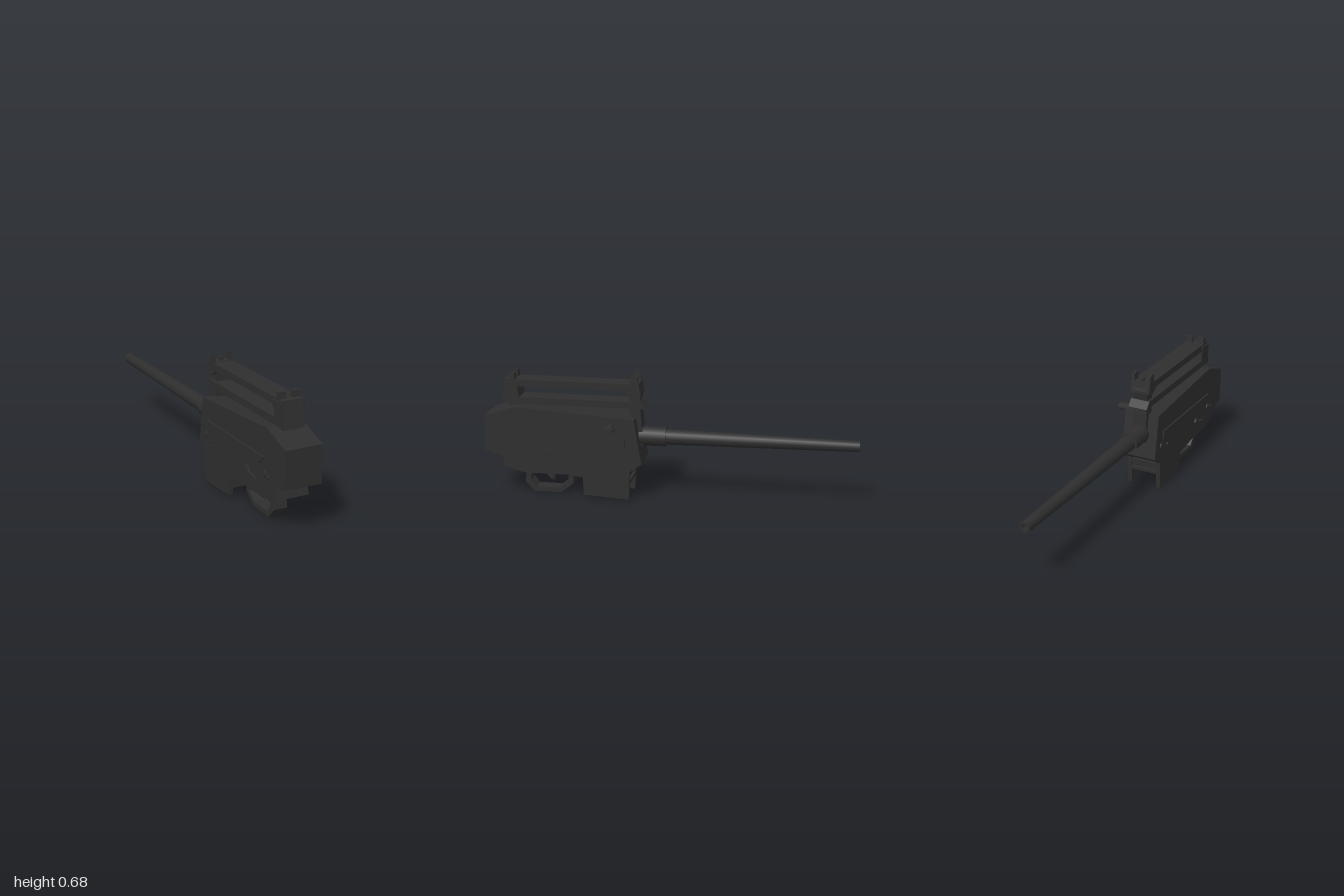
import * as THREE from 'three';

const CX = -0.045; // centre plane of the gun

export function createModel() {
  const group = new THREE.Group();
  const black = new THREE.MeshStandardMaterial({ color: 0x2e2e2e });
  black.name = 'gunmetal black';

  const add = (name, geo) => {
    const mesh = new THREE.Mesh(geo, black);
    mesh.name = name;
    group.add(mesh);
    return mesh;
  };
  const toPoints = (pts) => pts.map(([z, y]) => new THREE.Vector2(-z, y));

  // Side profile given as [z, y] points, extruded between two x positions
  const profile = (name, pts, x0, x1, hole) => {
    const shape = new THREE.Shape(toPoints(pts));
    if (hole) shape.holes.push(new THREE.Path(toPoints(hole)));
    const geo = new THREE.ExtrudeGeometry(shape, { depth: x1 - x0, bevelEnabled: false });
    geo.rotateY(Math.PI / 2);
    geo.translate(x0, 0, 0);
    return add(name, geo);
  };
  // The same profile on both sides, from near to far distance off the centre plane
  const pair = (name, pts, near, far) => {
    profile(name + 'Left', pts, CX + near, CX + far);
    profile(name + 'Right', pts, CX - far, CX - near);
  };
  const box = (name, x0, x1, y0, y1, z0, z1) => {
    const geo = new THREE.BoxGeometry(x1 - x0, y1 - y0, z1 - z0);
    geo.translate((x0 + x1) / 2, (y0 + y1) / 2, (z0 + z1) / 2);
    return add(name, geo);
  };

  // Receiver: a core with a hollow magazine well, between two side plates
  profile('receiverCore', [[1, 0.44], [0.83, 0.497], [0.18, 0.455], [0.14, 0.21], [0.2, 0.17],
    [0.22, 0.17], [0.22, 0.22], [0.43, 0.22], [0.43, 0.055], [0.46, 0.055], [0.46, 0.12],
    [0.64, 0.145], [1, 0.245]], CX - 0.075, CX + 0.075);
  const side = [[1, 0.44], [0.83, 0.497], [0.18, 0.455], [0.14, 0.21], [0.205, 0.165],
    [0.21, 0.008], [0.46, 0.022], [0.46, 0.12], [0.64, 0.145], [1, 0.245]];
  const port = [[0.62, 0.355], [0.62, 0.425], [0.445, 0.425], [0.445, 0.388], [0.345, 0.388], [0.345, 0.355]];
  profile('sidePlateLeft', side, CX + 0.075, CX + 0.1, port);
  profile('sidePlateRight', side, CX - 0.1, CX - 0.075);

  // Front of the magazine well with ribs
  box('wellFrontWall', CX - 0.075, CX + 0.075, 0.085, 0.18, 0.222, 0.24);
  for (const y of [0.09, 0.135]) box('wellRib', CX - 0.075, CX + 0.075, y, y + 0.018, 0.208, 0.224);

  // Raised strips, selector levers and pins on both sides
  pair('sideStrip', [[0.82, 0.35], [0.23, 0.35], [0.23, 0.303], [0.77, 0.303]], 0.1, 0.109);
  pair('selectorLever', [[0.745, 0.2], [0.74, 0.217], [0.68, 0.228], [0.665, 0.25], [0.645, 0.253],
    [0.637, 0.235], [0.66, 0.215], [0.72, 0.196]], 0.1, 0.112);
  for (const [z, y, r] of [[0.815, 0.265, 0.018], [0.85, 0.258, 0.009], [0.215, 0.265, 0.018], [0.285, 0.25, 0.009]]) {
    const pin = new THREE.CylinderGeometry(r, r, 0.216, 12);
    pin.rotateZ(Math.PI / 2);
    pin.translate(CX, y, z);
    add('crossPin', pin);
  }

  // Charging handle
  box('chargingStem', 0.05, 0.1, 0.398, 0.427, 0.29, 0.32);
  const knob = new THREE.CylinderGeometry(0.035, 0.035, 0.06, 8);
  knob.rotateZ(Math.PI / 2);
  knob.scale(1, 0.5, 1);
  knob.translate(0.125, 0.411, 0.307);
  add('chargingKnob', knob);

  // Hollow lower housing in front of the trigger
  pair('housingWall', [[0.895, 0.225], [0.912, 0.16], [0.79, 0.126], [0.56, 0.126], [0.56, 0.15], [0.7, 0.2]], 0.07, 0.087);
  profile('housingFront', [[0.895, 0.225], [0.912, 0.16], [0.885, 0.153], [0.87, 0.225]], CX - 0.07, CX + 0.07);
  box('housingFloor', CX - 0.07, CX + 0.07, 0.126, 0.145, 0.53, 0.79);

  // Trigger guard and trigger
  profile('triggerGuard', [[0.785, 0.135], [0.802, 0.06], [0.752, 0.004], [0.6, 0.004], [0.53, 0.06], [0.53, 0.135]],
    CX - 0.037, CX + 0.037,
    [[0.76, 0.125], [0.77, 0.068], [0.738, 0.03], [0.61, 0.03], [0.557, 0.07], [0.557, 0.125]]);
  profile('trigger', [[0.695, 0.135], [0.685, 0.1], [0.665, 0.075], [0.642, 0.067], [0.642, 0.08],
    [0.66, 0.095], [0.668, 0.135]], CX - 0.015, CX + 0.015);

  // Barrel with collar and bored muzzle, turned about z
  const lathe = (name, pts) => {
    const geo = new THREE.LatheGeometry(pts.map(([r, d]) => new THREE.Vector2(r, d)), 20);
    geo.rotateX(-Math.PI / 2);
    geo.translate(CX, 0.342, 0);
    return add(name, geo);
  };
  const cylinder = (name, r0, r1, z0, z1) => {
    const geo = new THREE.CylinderGeometry(r1, r0, z0 - z1, 20, 1);
    geo.rotateX(-Math.PI / 2);
    geo.translate(CX, 0.342, (z0 + z1) / 2);
    return add(name, geo);
  };
  cylinder('barrelCollar', 0.052, 0.052, 0.18, 0.02);
  const tube = new THREE.CylinderGeometry(0.029, 0.042, 1.03, 20, 1, true);
  tube.rotateX(-Math.PI / 2);
  tube.translate(CX, 0.342, -0.485);
  add('barrel', tube);
  lathe('muzzleRim', [[0.029, 1], [0.017, 1]]);
  lathe('muzzleBore', [[0.017, 1], [0.017, 0.93]]);
  lathe('boreEnd', [[0.017, 0.93], [0, 0.93]]);

  // Carry handle: rear block, lower bar and a channelled top bar
  box('rearMount', CX - 0.04, CX + 0.04, 0.475, 0.51, 0.8, 0.87);
  profile('rearBlock', [[0.912, 0.503], [0.89, 0.637], [0.825, 0.637], [0.815, 0.54], [0.83, 0.503]], CX - 0.055, CX + 0.055);
  profile('lowerBar', [[0.84, 0.54], [0.155, 0.54], [0.125, 0.503], [0.84, 0.503]], CX - 0.055, CX + 0.055);
  box('topBar', CX - 0.055, CX + 0.055, 0.622, 0.637, 0.16, 0.84);
  pair('topBarRail', [[0.84, 0.623], [0.17, 0.623], [0.19, 0.57], [0.24, 0.6], [0.84, 0.6]], 0.038, 0.055);

  // Rear sight
  pair('rearSightPlate', [[0.892, 0.585], [0.892, 0.627], [0.81, 0.627], [0.82, 0.585]], 0.05, 0.063);
  pair('rearSightEar', [[0.862, 0.63], [0.858, 0.67], [0.838, 0.67], [0.834, 0.63]], 0.016, 0.055);

  // Front post and front sight
  profile('frontPost', [[0.21, 0.63], [0.215, 0.54], [0.21, 0.44], [0.2, 0.3], [0.14, 0.3], [0.152, 0.46],
    [0.16, 0.53], [0.15, 0.59], [0.16, 0.63]], CX - 0.04, CX + 0.04);
  profile('frontSightBase', [[0.21, 0.64], [0.21, 0.595], [0.15, 0.58], [0.16, 0.64]], CX - 0.055, CX + 0.055);
  pair('frontSightEar', [[0.21, 0.635], [0.203, 0.685], [0.168, 0.675], [0.155, 0.6]], 0.04, 0.055);
  box('frontSightPost', CX - 0.008, CX + 0.008, 0.63, 0.657, 0.175, 0.195);

  return group;
}
